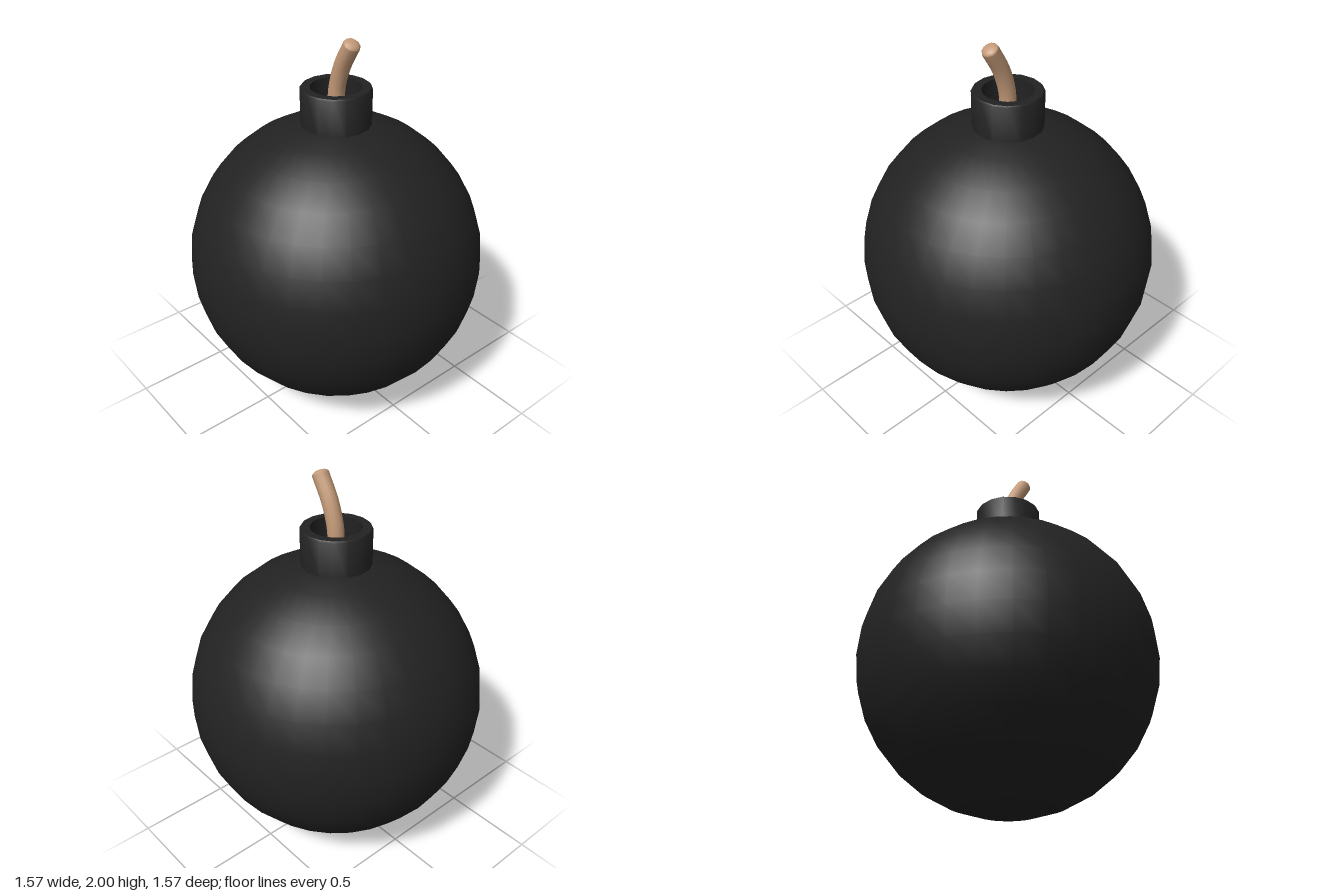
import * as THREE from 'three';
import { toCreasedNormals } from 'three/addons/utils/BufferGeometryUtils.js';

export function createModel() {
  const model = new THREE.Group();
  const iron = new THREE.MeshStandardMaterial({ color: 0x222222 });
  const cord = new THREE.MeshStandardMaterial({ color: 0xc49a78 });

  const add = (name, geometry, material, parent = model) => {
    const mesh = new THREE.Mesh(geometry, material);
    mesh.name = name;
    parent.add(mesh);
    return mesh;
  };

  // Round body
  add('body', new THREE.SphereGeometry(0.783, 32, 16), iron).position.y = 0.783;

  // Hollow collar: up the outside, over the rim, down the inside
  const profile = [[0.18, 1.5], [0.18, 1.728], [0.174, 1.735], [0.13, 1.735], [0.13, 1.53]]
    .map(([r, y]) => new THREE.Vector2(r, y));
  add('collar', toCreasedNormals(new THREE.LatheGeometry(profile, 16), 0.8), iron);

  // Bent fuse with a softly domed tip
  const fuse = new THREE.Group();
  fuse.name = 'fuse';
  model.add(fuse);
  const radius = 0.043;
  const path = new THREE.CatmullRomCurve3([
    [0, 1.53], [0, 1.64], [0.008, 1.735], [0.045, 1.85], [0.113, 1.968],
  ].map(([x, y]) => new THREE.Vector3(x, y, 0)));
  add('fuseCord', new THREE.TubeGeometry(path, 14, radius, 12), cord, fuse);

  const tip = add('fuseTip', new THREE.SphereGeometry(radius, 12, 4, 0, Math.PI * 2, 0, Math.PI / 2), cord, fuse);
  tip.scale.y = 0.5;
  tip.position.copy(path.getPoint(1));
  tip.quaternion.setFromUnitVectors(new THREE.Vector3(0, 1, 0), path.getTangent(1));

  return model;
}
